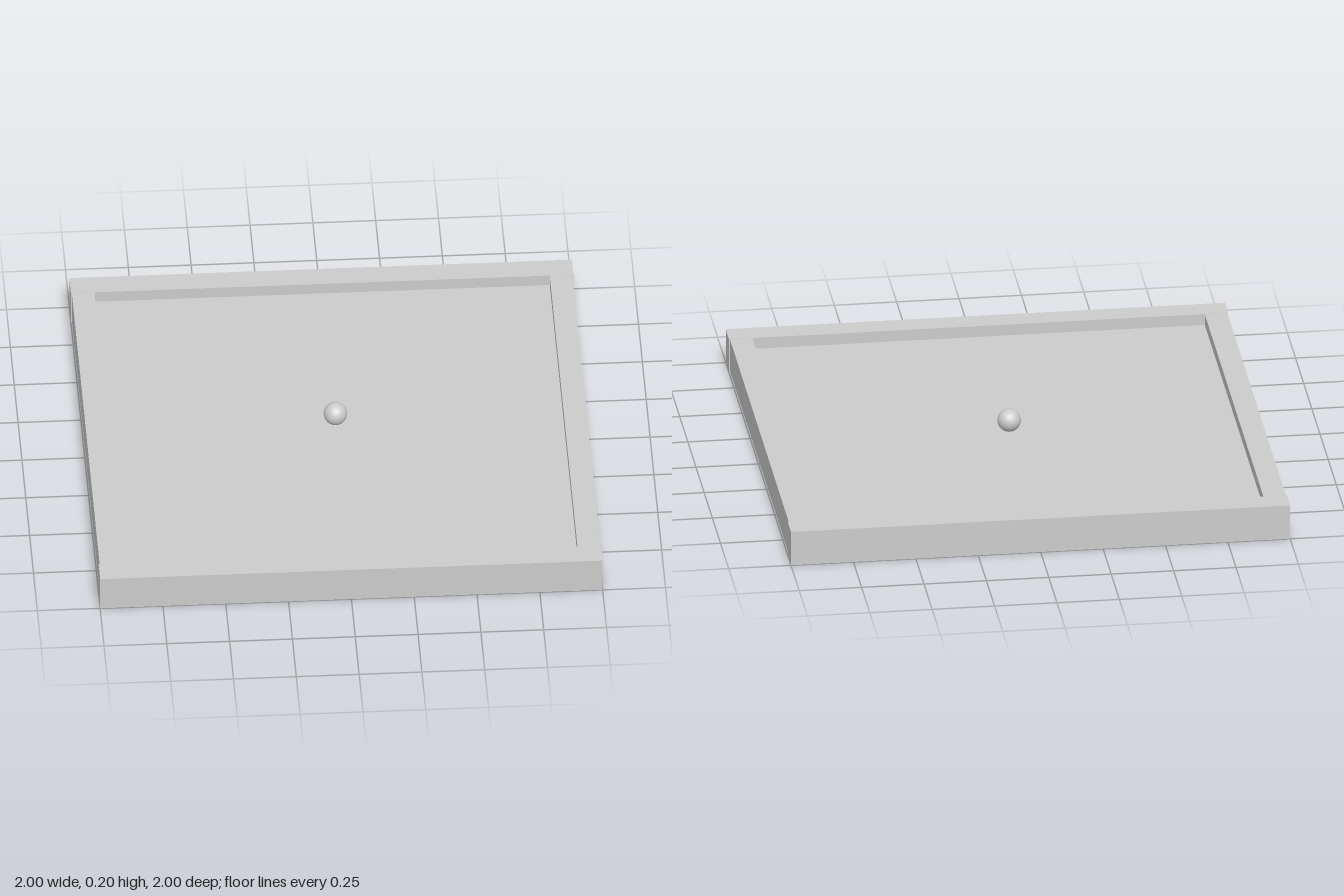
import * as THREE from 'three';

export function createModel() {
  const group = new THREE.Group();
  const material = new THREE.MeshStandardMaterial({ color: 0xcccccc });

  const add = (name, geometry, x, y, z) => {
    const mesh = new THREE.Mesh(geometry, material);
    mesh.name = name;
    mesh.position.set(x, y, z);
    group.add(mesh);
  };
  // Box given by its size, bottom height and centre
  const box = (name, w, h, d, x, bottom, z) =>
    add(name, new THREE.BoxGeometry(w, h, d), x, bottom + h / 2, z);

  // Slab of the tray
  box('floor', 1.985, 0.094, 1.985, 0, 0.004, 0);

  // Raised rim: full-width rails at front and back, slightly inset rails between them
  for (const s of [1, -1]) {
    box(s > 0 ? 'frontRail' : 'backRail', 2, 0.145, 0.1, 0, 0, s * 0.95);
    box(s > 0 ? 'leftRail' : 'rightRail', 0.09, 0.137, 1.82, s * 0.951, 0.007, 0);
  }

  // Ball resting on the floor
  add('ball', new THREE.SphereGeometry(0.047, 32, 20), 0, 0.149, -0.035);

  return group;
}
